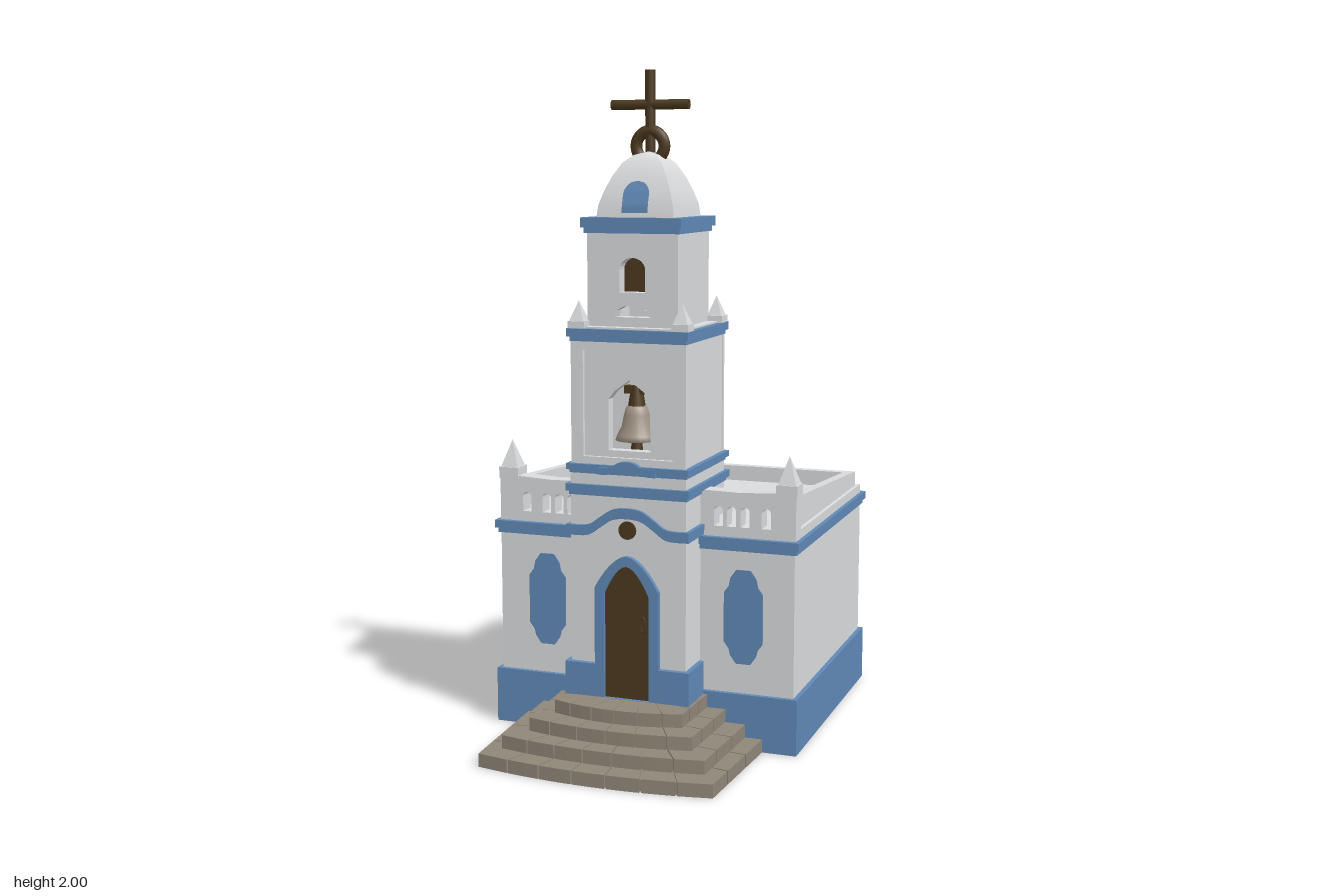
import * as THREE from 'three';
import { toCreasedNormals } from 'three/addons/utils/BufferGeometryUtils.js';

const material = (name, color) => Object.assign(new THREE.MeshStandardMaterial({ color }), { name });
const V = (x, y) => new THREE.Vector2(x, y);

export function createModel() {
  const white = material('whitewash', 0xdadbdd);
  const blue = material('blue paint', 0x6089b6);
  const brown = material('dark wood', 0x4b381e);
  const stone = material('step stone', 0x8f8678);
  const bronze = material('bell bronze', 0xa09384);
  bronze.side = THREE.DoubleSide;
  const root = new THREE.Group();
  root.name = 'chapel';
  const TZ = 0.14; // tower axis

  const add = (name, geo, mat) => {
    const m = new THREE.Mesh(geo, mat);
    m.name = name;
    root.add(m);
  };
  // box from its limits
  const box = (name, mat, x0, x1, y0, y1, z0, z1) =>
    add(name, new THREE.BoxGeometry(x1 - x0, y1 - y0, z1 - z0)
      .translate((x0 + x1) / 2, (y0 + y1) / 2, (z0 + z1) / 2), mat);
  // outline and holes both run counter-clockwise so that walls of holes face inwards
  const ccw = pts => (THREE.ShapeUtils.isClockWise(pts) ? pts.slice().reverse() : pts);
  const extrude = (pts, holes, depth) => {
    const s = new THREE.Shape(ccw(pts));
    s.holes = holes.map(h => new THREE.Path(ccw(h)));
    return new THREE.ExtrudeGeometry(s, { depth, bevelEnabled: false });
  };
  // upright plate facing z
  const plate = (name, mat, pts, z0, z1, holes = []) =>
    add(name, extrude(pts, holes, z1 - z0).translate(0, 0, z0), mat);
  // horizontal slab from a plan outline of (x, z)
  const slab = (name, mat, pts, y0, y1, holes = []) => {
    const flip = a => a.map(p => V(p.x, -p.y));
    add(name, extrude(flip(pts), holes.map(flip), y1 - y0).rotateX(-Math.PI / 2).translate(0, y0, 0), mat);
  };
  const rect = (x0, x1, y0, y1) => [V(x0, y0), V(x1, y0), V(x1, y1), V(x0, y1)];
  // arched outline, round or pointed
  const arch = (cx, w, y0, y1, rise = w, pointed = false) => {
    const pts = [V(cx - w, y0), V(cx + w, y0)];
    for (let i = 0; i <= 12; i++) {
      const t = i / 6 - 1, a = i / 12 * Math.PI;
      pts.push(pointed
        ? V(cx - w * t, y1 - rise * Math.pow(Math.abs(t), 1.8))
        : V(cx + w * Math.cos(a), y1 - rise + rise * Math.sin(a)));
    }
    return pts;
  };
  // moulding strip that follows a line across the front
  const band = (name, mat, line, h, z0, z1) => {
    const pts = new THREE.SplineCurve(line).getPoints(40);
    plate(name, mat, [...pts, ...pts.slice().reverse().map(p => V(p.x, p.y + h))], z0, z1);
  };
  // two-step cornice around the tower
  const cornice = (name, w, y0, y1) => {
    const y = y0 + (y1 - y0) * 0.35;
    box(name + ' lower', blue, -w + 0.008, w - 0.008, y0, y, TZ - w + 0.008, TZ + w - 0.008);
    box(name, blue, -w, w, y, y1, TZ - w, TZ + w);
  };
  const pinnacle = (x, y, z, w, h) => {
    box('pinnacle base', white, x - w, x + w, y, y + h * 0.3, z - w, z + w);
    const cone = new THREE.ConeGeometry(w * 1.25, h * 0.72, 4).rotateY(Math.PI / 4).toNonIndexed();
    cone.computeVertexNormals();
    add('pinnacle tip', cone.translate(x, y + h * 0.64, z), white);
  };

  // --- hollow body with the tower foot projecting at the front
  const plan = d => [V(-0.47 + d, -0.62 + d), V(0.47 - d, -0.62 + d), V(0.47 - d, 0.19 - d), V(0.18 - d, 0.19 - d),
    V(0.18 - d, 0.32 - d), V(-0.18 + d, 0.32 - d), V(-0.18 + d, 0.19 - d), V(-0.47 + d, 0.19 - d)];
  slab('walls', white, plan(0), 0.16, 0.64, [plan(0.007)]);
  slab('wall lining', blue, plan(0.0065), 0.15, 0.63, [plan(0.009)]);
  // plinth, left open under the tower
  slab('plinth', blue, [V(-0.17, 0.204), V(-0.484, 0.204), V(-0.484, -0.634), V(0.484, -0.634), V(0.484, 0.204), V(0.17, 0.204),
    V(0.17, 0.18), V(0.46, 0.18), V(0.46, -0.61), V(-0.46, -0.61), V(-0.46, 0.18), V(-0.17, 0.18)], 0, 0.17);
  slab('roof', white, rect(-0.465, 0.465, -0.615, 0.185), 0.63, 0.665);
  slab('body cornice lower', blue, rect(-0.477, 0.477, -0.628, 0.197), 0.602, 0.618, [rect(-0.467, 0.467, -0.617, 0.187)]);
  slab('body cornice', blue, rect(-0.485, 0.485, -0.637, 0.205), 0.617, 0.641, [rect(-0.467, 0.467, -0.617, 0.187)]);

  // --- parapets
  slab('parapet curb', white, rect(-0.472, 0.472, -0.61, 0.18), 0.64, 0.668, [rect(-0.43, 0.43, -0.56, 0.13)]);
  const sideProfile = [V(-0.15, 0.66), V(0.585, 0.66), V(0.585, 0.715), V(-0.15, 0.765)];
  for (const s of [-1, 1]) {
    add('side parapet', extrude(sideProfile, [], 0.03).rotateY(Math.PI / 2).translate(s * 0.445 - 0.015, 0, 0), white);
    const holes = [0.235, 0.275, 0.317, 0.382].map(x => arch(s * x, 0.014, 0.672, 0.732));
    plate('front parapet', white, [V(s * 0.17, 0.64), V(s * 0.472, 0.64), V(s * 0.472, 0.785), V(s * 0.4, 0.78),
      V(s * 0.3, 0.775), V(s * 0.17, 0.778)], 0.135, 0.188, holes);
    pinnacle(s * 0.443, 0.77, 0.158, 0.032, 0.118);
    // window panels, blue outside and white inside
    const half = [[0.022, 0.26], [0.04, 0.285], [0.045, 0.305], [0.06, 0.325], [0.06, 0.475], [0.045, 0.495], [0.04, 0.52], [0.022, 0.545]];
    const outline = [...half.map(p => V(s * 0.315 + p[0], p[1])), ...half.slice().reverse().map(p => V(s * 0.315 - p[0], p[1]))];
    plate('front window', blue, outline, 0.188, 0.194);
    plate('window inside', white, outline, 0.178, 0.185);
    // tower foot blocks
    box('door pier', blue, s > 0 ? 0.085 : -0.195, s > 0 ? 0.195 : -0.085, 0.155, 0.26, 0.2, 0.337);
    box('side moulding', blue, s > 0 ? 0.17 : -0.192, s > 0 ? 0.192 : -0.17, 0.645, 0.675, 0.19, 0.328);
  }
  box('back parapet', white, -0.46, 0.46, 0.66, 0.715, -0.585, -0.555);

  // --- tower lower stage and doorway
  box('tower lower stage', white, -0.18, 0.18, 0.63, 0.85, -0.035, 0.32);
  plate('door frame', blue, arch(0, 0.1, 0.15, 0.592, 0.1, true), 0.315, 0.336, [arch(0, 0.07, 0.16, 0.562, 0.085, true)]);
  plate('door', brown, arch(0, 0.072, 0.155, 0.564, 0.085, true), 0.318, 0.326);
  plate('door inside', brown, arch(0, 0.072, 0.155, 0.564, 0.085, true), 0.305, 0.312);
  add('door handle', new THREE.TorusGeometry(0.012, 0.003, 6, 12).scale(0.6, 1.8, 1).translate(0.05, 0.39, 0.328), brown);
  band('arched moulding', blue, [V(-0.192, 0.645), V(-0.125, 0.647), V(-0.085, 0.672), V(-0.045, 0.697), V(0, 0.703),
    V(0.045, 0.697), V(0.085, 0.672), V(0.125, 0.647), V(0.192, 0.645)], 0.031, 0.31, 0.331);
  add('round window', new THREE.CylinderGeometry(0.027, 0.027, 0.008, 16).rotateX(Math.PI / 2).translate(0, 0.668, 0.323), brown);
  cornice('first cornice', 0.192, 0.765, 0.798);
  cornice('second cornice', 0.19, 0.83, 0.858);
  for (const z of [[0.31, 0.333], [-0.053, -0.03]]) {
    band('cornice crest', blue, [V(-0.09, 0.83), V(-0.05, 0.833), V(-0.025, 0.846), V(0, 0.85), V(0.025, 0.846),
      V(0.05, 0.833), V(0.09, 0.83)], 0.022, ...z);
  }

  // --- bell stage: hollow, with a framed panel front and back
  const bellHole = [V(-0.065, 0.9), V(0.065, 0.9), V(0.065, 1.05), V(0.045, 1.075), V(0, 1.108), V(-0.045, 1.075), V(-0.065, 1.05)];
  plate('bell stage front', white, rect(-0.175, 0.175, 0.85, 1.225), 0.27, 0.305, [bellHole]);
  box('bell stage back', white, -0.175, 0.175, 0.85, 1.225, -0.025, 0.17);
  for (const s of [-1, 1]) box('bell stage side', white, s > 0 ? 0.125 : -0.175, s > 0 ? 0.175 : -0.125, 0.85, 1.225, 0.16, 0.28);
  const panel = rect(-0.14, 0.14, 0.88, 1.193);
  plate('front panel frame', white, rect(-0.178, 0.178, 0.85, 1.225), 0.304, 0.317, [panel]);
  plate('back panel frame', white, rect(-0.178, 0.178, 0.85, 1.225), -0.037, -0.024, [panel]);
  const lathe = (pts, n) => new THREE.LatheGeometry(pts.map(p => V(p[0], p[1])), n);
  add('bell', lathe([[0.05, 0.925], [0.063, 0.925], [0.058, 0.94], [0.045, 0.965], [0.038, 1.0], [0.032, 1.022], [0.012, 1.035], [0, 1.036]], 24)
    .translate(0, 0, 0.243), bronze);
  add('bell clapper', new THREE.CylinderGeometry(0.012, 0.018, 0.06, 10).translate(0, 0.925, 0.243), brown);
  add('bell crown', new THREE.CylinderGeometry(0.016, 0.026, 0.06, 10).translate(0, 1.055, 0.243), brown);
  box('bell yoke', brown, -0.036, 0.036, 1.062, 1.085, 0.23, 0.256);
  cornice('third cornice', 0.188, 1.218, 1.255);
  box('tower ledge', white, -0.17, 0.17, 1.25, 1.26, TZ - 0.17, TZ + 0.17);
  for (const x of [-0.16, 0.16]) for (const z of [-0.015, 0.295]) pinnacle(x, 1.25, z, 0.026, 0.085);

  // --- upper stage, open front to back
  const openings = [arch(0, 0.04, 1.36, 1.46, 0.035), [V(-0.055, 1.288), V(0.055, 1.288), V(0.05, 1.308), V(0.025, 1.32), V(-0.025, 1.32), V(-0.05, 1.308)]];
  for (const z of [0.002, 0.238]) plate('upper stage wall', white, rect(-0.14, 0.14, 1.25, 1.54), z, z + 0.04, openings);
  for (const x of [-0.14, 0.1]) box('upper stage side', white, x, x + 0.04, 1.25, 1.54, 0.04, 0.24);
  box('upper stage core', brown, -0.1, 0.1, 1.34, 1.5, 0.12, 0.16);
  cornice('top cornice', 0.155, 1.53, 1.575);

  // --- square dome with arched panels that follow its curve
  const domeLine = [[0.12, 1.57], [0.115, 1.61], [0.102, 1.65], [0.085, 1.69], [0.062, 1.73], [0.035, 1.754], [0, 1.765]];
  const dome = lathe(domeLine.map(p => [p[0] * Math.SQRT2, p[1]]), 4).rotateY(Math.PI / 4);
  add('dome', toCreasedNormals(dome, 0.8).translate(0, 0, TZ - 0.003), white);
  const domeHalf = y => {
    const i = domeLine.findIndex(p => p[1] > y), [a, b] = [domeLine[i - 1], domeLine[i]];
    return a[0] + (b[0] - a[0]) * (y - a[1]) / (b[1] - a[1]);
  };
  for (const turn of [0, Math.PI]) {
    const g = new THREE.PlaneGeometry(2, 1, 1, 20), p = g.attributes.position;
    for (let i = 0; i < p.count; i++) {
      const y = 1.588 + 0.092 * (p.getY(i) + 0.5), up = Math.max(0, (y - 1.64) / 0.04);
      p.setXYZ(i, p.getX(i) * 0.04 * Math.sqrt(Math.max(0, 1 - up * up)), y, domeHalf(y) + 0.004);
    }
    g.computeVertexNormals();
    add('dome panel', g.rotateY(turn).translate(0, 0, TZ - 0.003), blue);
  }

  // --- ring and cross
  add('cross ring', new THREE.TorusGeometry(0.044, 0.018, 10, 28).translate(0, 1.78, 0.127), brown);
  const rod = (len, r) => new THREE.CylinderGeometry(r, r, len, 10);
  add('cross post', rod(0.24, 0.015).translate(0, 1.88, 0.127), brown);
  add('cross bar', rod(0.24, 0.015).rotateZ(Math.PI / 2).translate(0, 1.9, 0.127), brown);

  // --- curved steps, hollow beneath, laid in separate blocks
  const steps = [[0.38, 0.357, 0.598, 0.635], [0.327, 0.312, 0.535, 0.568], [0.265, 0.252, 0.472, 0.505], [0.208, 0.2, 0.405, 0.44]];
  const outline = ([w, c, zc, zm], t, k = 1) => { // t 0..1 down one side, 1..3 across, 3..4 back up
    if (t > 2) { const p = outline([w, c, zc, zm], 4 - t, k); return V(-p.x, p.y); }
    if (t <= 1) return V((w + (c - w) * t) * k, 0.2 + (zc * k - 0.2) * t);
    const u = 2 - t;
    return V(c * u * k, (zm + (zc - zm) * u * u) * k);
  };
  steps.forEach((st, i) => {
    const y0 = i * 0.04, y1 = y0 + 0.04, outer = [], inside = [];
    const inner = steps[i + 1] || [0.14, 0.13, 0.34, 0.35];
    for (let j = 0; j <= 16; j++) {
      outer.push(outline(st, j / 4, 0.985));
      inside.unshift(outline(inner, j / 4, 0.97));
    }
    slab('step bed', stone, [...outer, ...inside], y0, y1 - 0.006);
    // joints: square to the sides, with one block wrapping each corner
    const ratio = (st[2] - 0.2) / (inner[2] - 0.2), across = 5 - (i > 1 ? 1 : 0);
    const square = t => (t < 1 ? Math.min(0.96, t * ratio) : t > 3 ? 4 - Math.min(0.96, (4 - t) * ratio) : t);
    const cuts = [0, 0.36, 0.72];
    for (let j = 0; j <= across; j++) cuts.push(1.28 + 1.44 * j / across);
    cuts.push(3.28, 3.64, 4);
    for (let j = 0; j < cuts.length - 1; j++) {
      const a = cuts[j] + 0.007, b = cuts[j + 1] - 0.007, m = (a + b) / 2;
      slab('step block', stone, [outline(st, a), outline(st, m), outline(st, b),
        outline(inner, square(b), 0.97), outline(inner, square(m), 0.97), outline(inner, square(a), 0.97)], y0, y1);
    }
  });
  box('landing', stone, -0.19, 0.19, 0.135, 0.159, 0.19, 0.4);
  return root;
}
